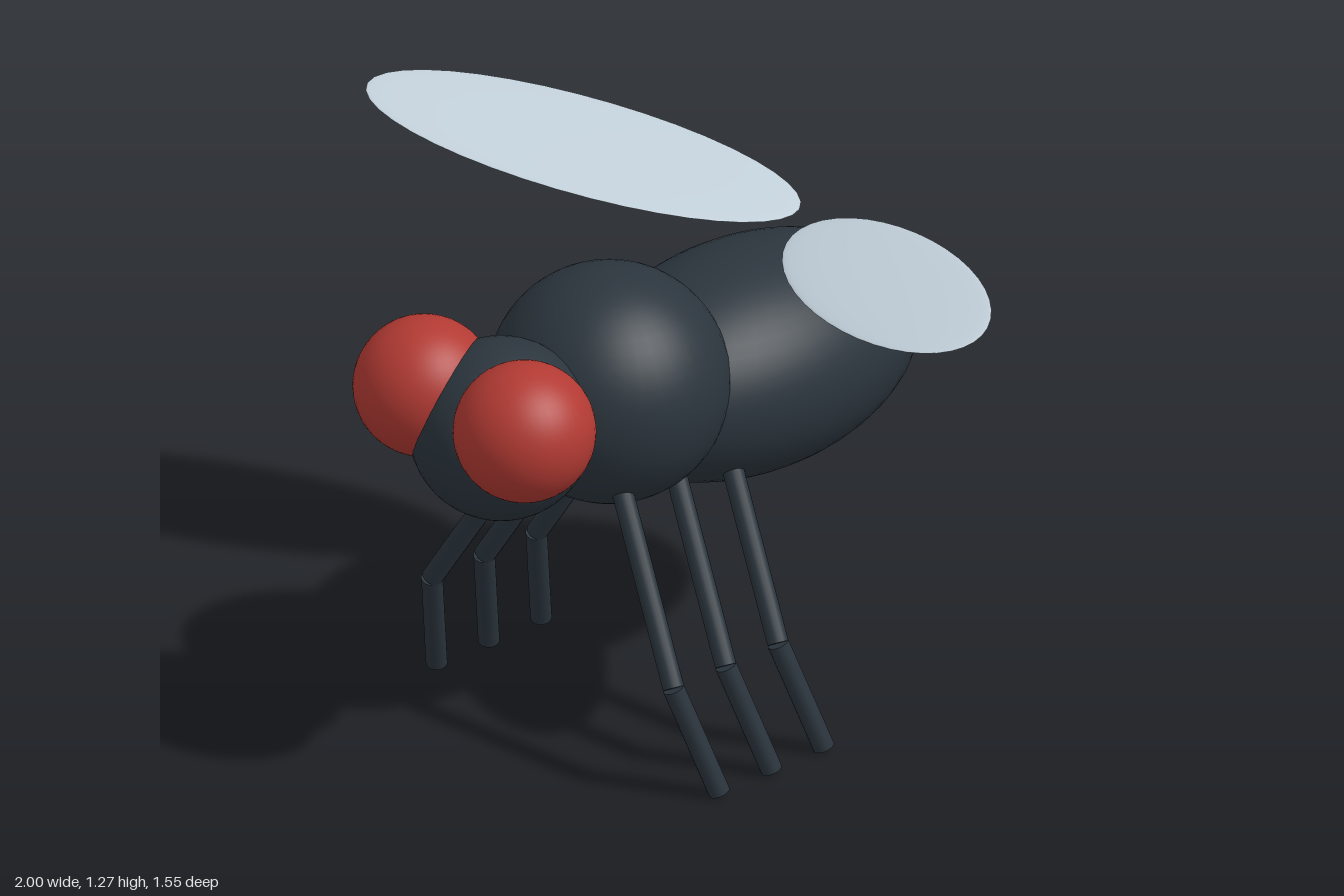
import * as THREE from 'three';

export function createModel() {
  const model = new THREE.Group();
  model.name = 'fly';

  const bodyMat = new THREE.MeshStandardMaterial({ color: 0x2b353d });
  bodyMat.name = 'dark slate';
  const eyeMat = new THREE.MeshStandardMaterial({ color: 0xb23a33 });
  eyeMat.name = 'red';
  const wingMat = new THREE.MeshStandardMaterial({ color: 0xc2d0da });
  wingMat.name = 'pale blue grey';

  const sphere = new THREE.SphereGeometry(1, 40, 28);

  // Ellipsoid with the given centre and radii
  function ellipsoid(name, mat, pos, radii) {
    const mesh = new THREE.Mesh(sphere, mat);
    mesh.name = name;
    mesh.position.set(...pos);
    mesh.scale.set(...radii);
    model.add(mesh);
    return mesh;
  }

  // Cylinder running between two points
  function limb(name, from, to, radius) {
    const dir = to.clone().sub(from);
    const mesh = new THREE.Mesh(new THREE.CylinderGeometry(radius, radius, dir.length(), 16), bodyMat);
    mesh.name = name;
    mesh.position.copy(from).add(to).multiplyScalar(0.5);
    mesh.quaternion.setFromUnitVectors(new THREE.Vector3(0, 1, 0), dir.normalize());
    return mesh;
  }

  // Body
  ellipsoid('head', bodyMat, [0, 0.89, 0.52], [0.22, 0.22, 0.22]);
  ellipsoid('thorax', bodyMat, [0, 0.89, 0.165], [0.29, 0.29, 0.29]);
  ellipsoid('abdomen', bodyMat, [0, 0.805, -0.285], [0.305, 0.272, 0.49]);

  for (const [side, s] of [['left', 1], ['right', -1]]) {
    // Eye
    ellipsoid(side + 'Eye', eyeMat, [s * 0.17, 0.973, 0.608], [0.17, 0.17, 0.17]);

    // Wing: thin ellipse swept forward and raised at the tip
    const wing = ellipsoid(side + 'Wing', wingMat, [s * 0.515, 1.183, -0.25], [0.544, 0.012, 0.206]);
    wing.rotation.set(0, -s * 0.478, s * 0.175, 'ZYX');

    // Three legs, each with an upper and a lower segment
    ['front', 'middle', 'rear'].forEach((row, i) => {
      const z = 0.35 - i * 0.172;
      const hip = new THREE.Vector3(s * 0.14, 0.735, z - 0.078);
      const knee = new THREE.Vector3(s * 0.41, 0.29, z);
      const foot = new THREE.Vector3(s * 0.48, 0.012, z - 0.083);
      const leg = new THREE.Group();
      leg.name = side + row[0].toUpperCase() + row.slice(1) + 'Leg';
      leg.add(limb('upperLeg', hip, knee, 0.026), limb('lowerLeg', knee, foot, 0.026));
      model.add(leg);
    });
  }

  return model;
}
